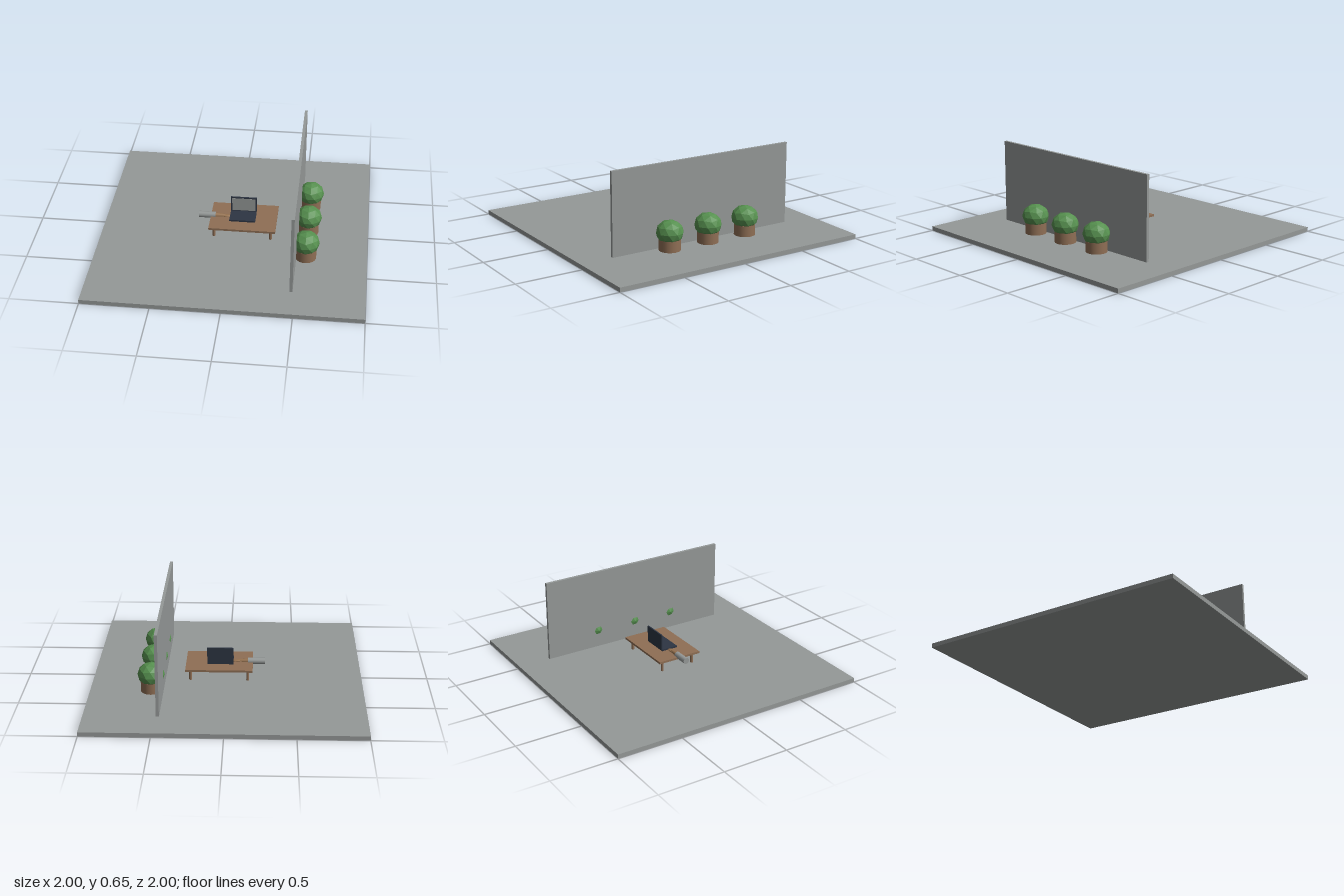
import * as THREE from 'three';

const mat = (name, color) => {
  const m = new THREE.MeshStandardMaterial({ color });
  m.name = name;
  return m;
};

export function createModel() {
  const model = new THREE.Group();
  model.name = 'patioScene';
  const concrete = mat('concrete grey', 0x959998);
  const wood = mat('wood brown', 0x8f6f55);
  const leaf = mat('leaf green', 0x56904f);
  const navy = mat('dark navy', 0x2d3543);
  const skin = mat('skin brown', 0x977350);

  const add = (name, geometry, material, x, y, z, parent = model) => {
    const mesh = new THREE.Mesh(geometry, material);
    mesh.name = name;
    mesh.position.set(x, y, z);
    parent.add(mesh);
    return mesh;
  };
  const box = (w, h, d) => new THREE.BoxGeometry(w, h, d);

  // Ground slab and upright wall
  add('floor', box(2, 0.032, 2), concrete, 0, 0.016, 0);
  add('wall', box(0.022, 0.62, 1.5), concrete, 0.472, 0.34, 0);

  // Row of potted bushes, leaves faceted and slightly squashed
  const bush = new THREE.IcosahedronGeometry(1, 1);
  bush.rotateZ(Math.atan(2 / (1 + Math.sqrt(5)))).rotateY(Math.PI / 2);
  bush.scale(0.1, 0.088, 0.1);
  bush.computeVertexNormals();
  const pot = new THREE.CylinderGeometry(0.078, 0.078, 0.084, 24);
  for (const z of [-0.325, 0, 0.325]) {
    const plant = new THREE.Group();
    plant.name = 'pottedBush';
    plant.position.set(0.55, 0, z);
    add('pot', pot, wood, 0, 0.073, 0, plant);
    add('foliage', bush, leaf, 0, 0.164, 0, plant);
    model.add(plant);
  }

  // Low table
  const table = new THREE.Group();
  table.name = 'table';
  model.add(table);
  add('tableTop', box(0.5, 0.016, 0.348), wood, 0.062, 0.12, 0, table);
  const leg = new THREE.CylinderGeometry(0.0105, 0.0105, 0.082, 12);
  for (const x of [-0.151, 0.275])
    for (const z of [-0.13, 0.13]) add('tableLeg', leg, wood, x, 0.072, z, table);

  // Open laptop facing the front
  const laptop = new THREE.Group();
  laptop.name = 'laptop';
  model.add(laptop);
  add('laptopBase', box(0.195, 0.013, 0.13), navy, 0.055, 0.1345, 0.003, laptop);
  add('laptopLid', box(0.195, 0.124, 0.011), navy, 0.055, 0.2, -0.0645, laptop);
  add('laptopScreen', box(0.177, 0.106, 0.002), concrete, 0.055, 0.2, -0.0585, laptop);

  // Arm resting on the table: sleeve, tapering forearm, flat hand
  const arm = new THREE.Group();
  arm.name = 'arm';
  model.add(arm);
  const sleeve = new THREE.CylinderGeometry(0.024, 0.024, 0.126, 12).rotateZ(Math.PI / 2);
  add('sleeve', sleeve, concrete, -0.215, 0.131, 0, arm);
  const forearm = new THREE.CylinderGeometry(0.012, 0.019, 0.08, 12).rotateZ(-Math.PI / 2);
  add('forearm', forearm, skin, -0.118, 0.13, 0, arm);
  const hand = new THREE.SphereGeometry(1, 12, 8).scale(0.04, 0.009, 0.017);
  add('hand', hand, skin, -0.074, 0.13, 0, arm);

  return model;
}
